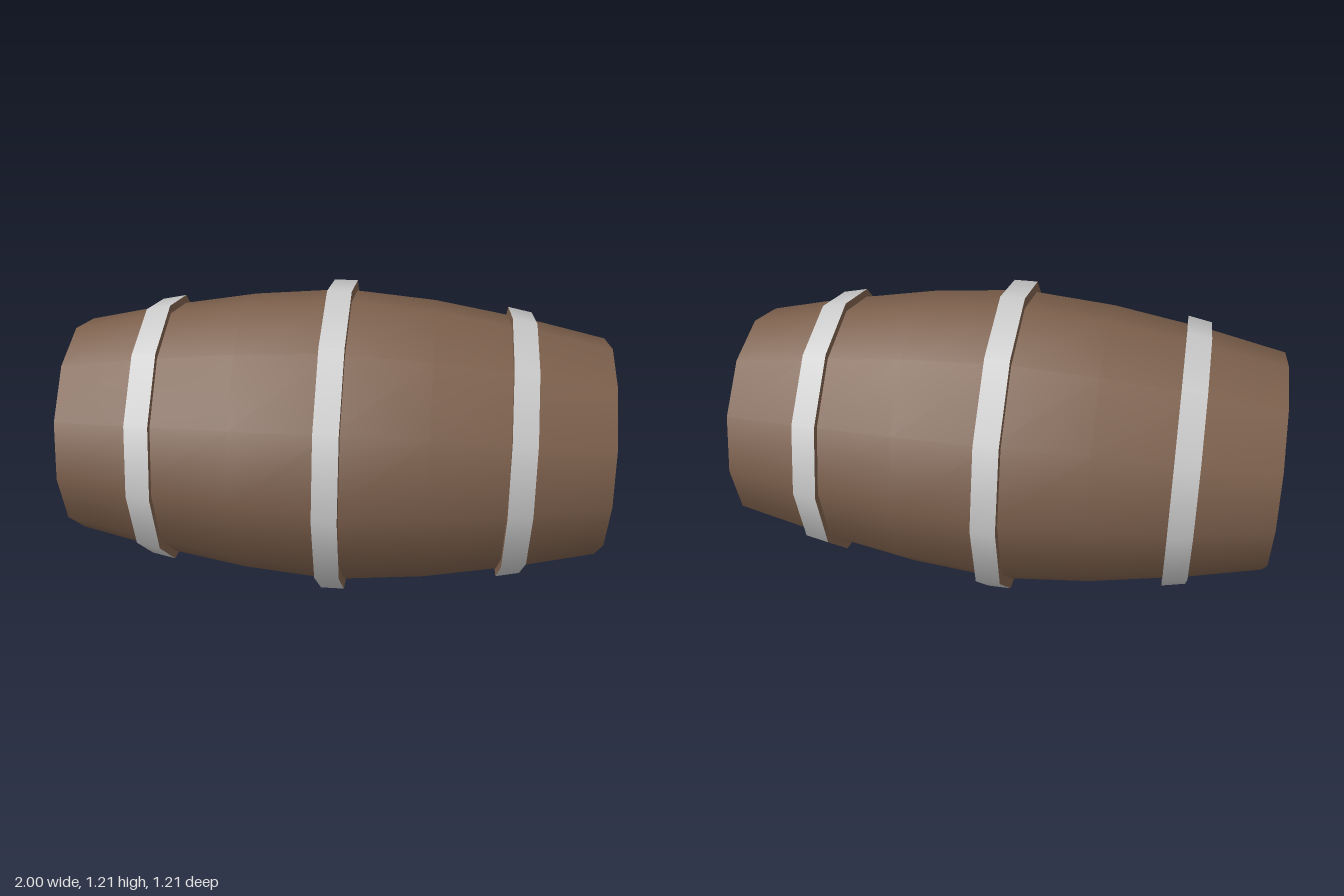
import * as THREE from 'three';

const SIDES = 12;
const wood = new THREE.MeshStandardMaterial({ color: 0x7d604c });
const metal = new THREE.MeshStandardMaterial({ color: 0xcccccc });

// Surface turned around the x axis from [x, radius] pairs; rising x faces outward.
function turned(name, profile, material) {
  const points = profile.map(([x, r]) => new THREE.Vector2(r, x));
  const geometry = new THREE.LatheGeometry(points, SIDES);
  geometry.rotateZ(-Math.PI / 2);
  const mesh = new THREE.Mesh(geometry, material);
  mesh.name = name;
  return mesh;
}

// Metal hoop with wooden side faces, sloping from radius r0 at x0 to r1 at x1.
function hoop(name, x0, r0, x1, r1, inner0, inner1) {
  const group = new THREE.Group();
  group.name = name;
  group.add(
    turned('hoopBand', [[x0, r0], [x1, r1]], metal),
    turned('hoopSideA', [[x0, inner0], [x0, r0]], wood),
    turned('hoopSideB', [[x1, r1], [x1, inner1]], wood)
  );
  return group;
}

// Flat rim, recess wall and sunken lid of the +x end.
function barrelEnd(name) {
  const group = new THREE.Group();
  group.name = name;
  group.add(
    turned('rim', [[1, 0.414], [1, 0.368]], wood),
    turned('recessWall', [[1, 0.368], [0.95, 0.368]], wood),
    turned('lid', [[0.95, 0.368], [0.95, 0]], wood)
  );
  return group;
}

export function createModel() {
  const barrel = new THREE.Group();
  barrel.name = 'barrel';

  // Bulging staves
  const half = [[0.35, 0.537], [0.72, 0.475], [1, 0.414]];
  const mirrored = half.map(([x, r]) => [-x, r]).reverse();
  barrel.add(turned('staves', [...mirrored, [0, 0.567], ...half], wood));

  // Hoops
  barrel.add(
    hoop('middleHoop', -0.045, 0.603, 0.045, 0.603, 0.56, 0.56),
    hoop('leftHoop', 0.63, 0.521, 0.72, 0.503, 0.485, 0.47),
    hoop('rightHoop', -0.72, 0.503, -0.63, 0.521, 0.47, 0.485)
  );

  // Ends
  const rightEnd = barrelEnd('rightEnd');
  rightEnd.rotation.y = Math.PI;
  barrel.add(barrelEnd('leftEnd'), rightEnd);

  barrel.position.y = 0.603;
  const model = new THREE.Group();
  model.name = 'model';
  model.add(barrel);
  return model;
}
